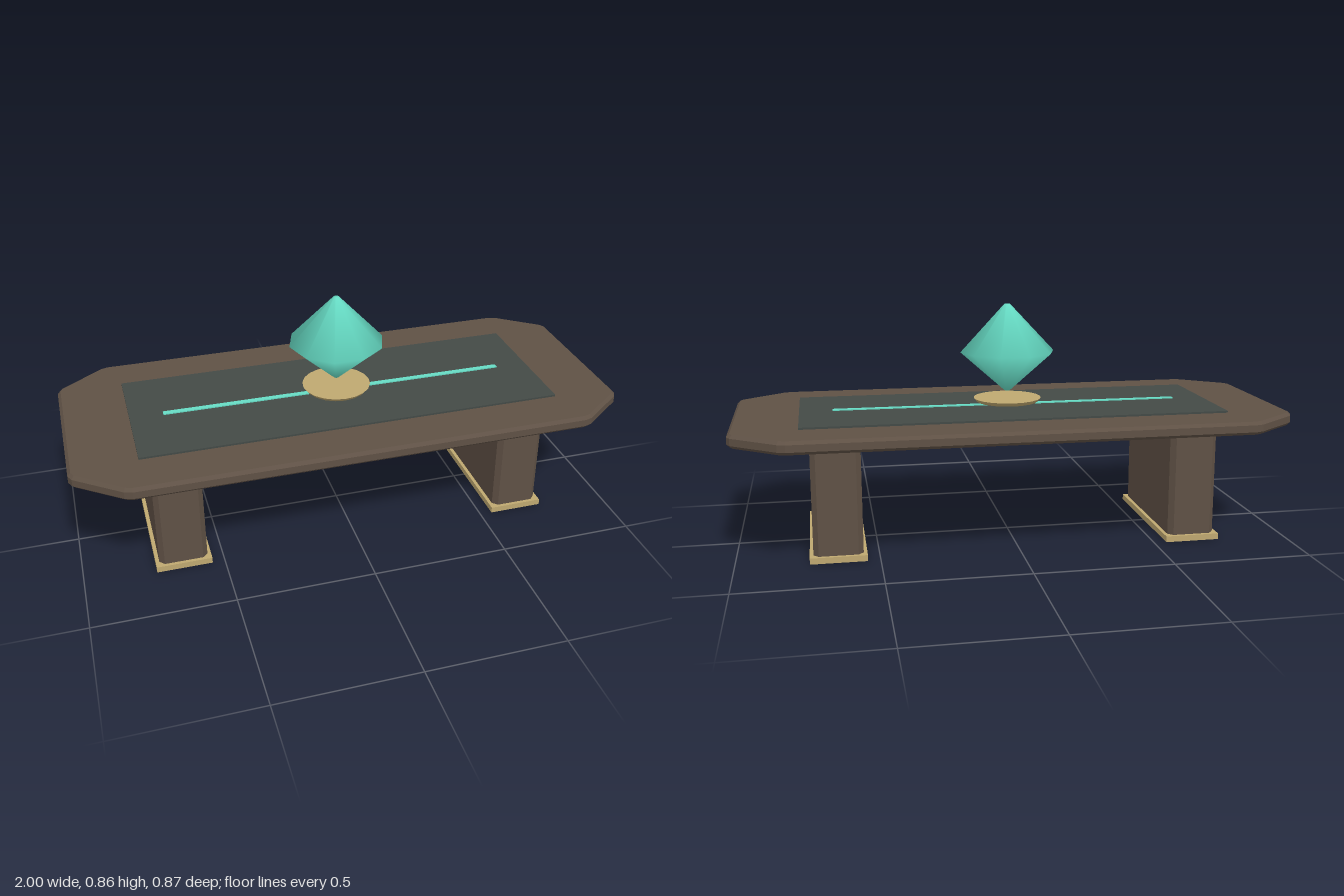
import * as THREE from 'three';

const mat = (name, color) => Object.assign(new THREE.MeshStandardMaterial({ color }), { name });

// Trim every corner of a convex outline by distance d
function trimCorners(points, d) {
  const out = [];
  points.forEach((p, i) => {
    const n = points.length;
    for (const q of [points[(i + n - 1) % n], points[(i + 1) % n]]) {
      out.push(p.clone().add(q.clone().sub(p).setLength(d)));
    }
  });
  return out;
}

// Upright slab from an x/z outline, chamfered on all edges
function chamferedSlab(outline, y0, y1, trim, bevel) {
  const points = trimCorners(outline.map(([x, z]) => new THREE.Vector2(x, z)), trim);
  const geometry = new THREE.ExtrudeGeometry(new THREE.Shape(points), {
    depth: y1 - y0 - 2 * bevel,
    bevelEnabled: true, bevelSegments: 1,
    bevelSize: bevel, bevelThickness: bevel, bevelOffset: -bevel,
  });
  geometry.rotateX(-Math.PI / 2).translate(0, y0 + bevel, 0);
  return geometry;
}

// Box given by its size and bottom height
function boxOn(w, h, d, y0) {
  return new THREE.BoxGeometry(w, h, d).translate(0, y0 + h / 2, 0);
}

export function createModel() {
  const model = new THREE.Group();
  model.name = 'crystalTable';
  const wood = mat('darkWood', 0x5f5145);
  const gold = mat('paleGold', 0xbfa870);
  const teal = mat('tealCrystal', 0x66dbc4);
  const slate = mat('slateInlay', 0x434a46);

  const add = (name, geometry, material, x = 0) => {
    const mesh = new THREE.Mesh(geometry, material);
    mesh.name = name;
    mesh.position.x = x;
    model.add(mesh);
    return mesh;
  };

  // Tabletop with cut corners
  const top = [[1, -0.3], [1, 0.3], [0.82, 0.437], [-0.82, 0.437],
    [-1, 0.3], [-1, -0.3], [-0.82, -0.437], [0.82, -0.437]];
  add('tabletop', chamferedSlab(top, 0.431, 0.478, 0.015, 0.011), wood);

  // Inlaid panel and glowing centre line
  add('inlayPanel', boxOn(1.53, 0.008, 0.534, 0.477), slate);
  add('centreLine', boxOn(1.29, 0.006, 0.02, 0.483), teal);

  // Pedestal legs, each in a thin gold foot
  const leg = [[0.087, -0.265], [0.087, 0.265], [-0.087, 0.265], [-0.087, -0.265]];
  for (const side of [-1, 1]) {
    const label = side > 0 ? 'left' : 'right';
    add(label + 'Leg', chamferedSlab(leg, 0, 0.412, 0.018, 0.017), wood, side * 0.645);
    add(label + 'Foot', boxOn(0.2, 0.022, 0.555, 0.001), gold, side * 0.645);
  }

  // Shallow dish: flared underside and flat top
  const dish = [[0, 0.486], [0.05, 0.486], [0.114, 0.498], [0.126, 0.512]]
    .map(([r, y]) => new THREE.Vector2(r, y));
  add('dishBowl', new THREE.LatheGeometry(dish, 20), gold);
  add('dishTop', new THREE.CircleGeometry(0.126, 20)
    .rotateX(-Math.PI / 2).rotateY(Math.PI / 2).translate(0, 0.512, 0), gold);

  // Floating ten-sided crystal with blunt tips
  const crystal = [[0, 0.538], [0.01, 0.538], [0.175, 0.685], [0.01, 0.861], [0, 0.861]]
    .map(([r, y]) => new THREE.Vector2(r, y));
  add('crystal', new THREE.LatheGeometry(crystal, 10).rotateY(Math.PI / 2), teal);

  return model;
}
